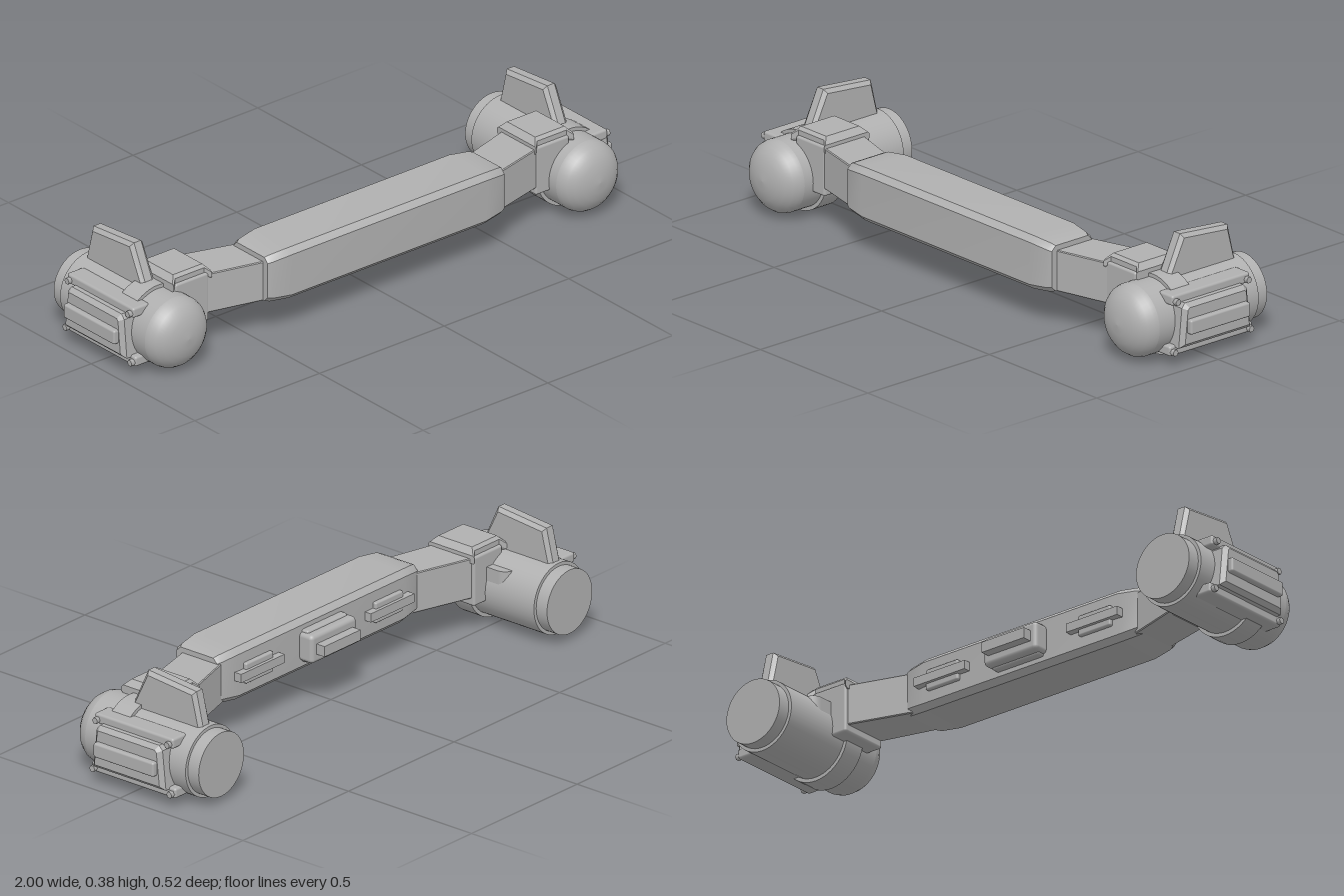
import * as THREE from 'three';
import { RoundedBoxGeometry } from 'three/addons/geometries/RoundedBoxGeometry.js';
import { toCreasedNormals } from 'three/addons/utils/BufferGeometryUtils.js';

const grey = new THREE.MeshStandardMaterial({ color: 0xb0b0b0 });
grey.name = 'grey metal';

// box given by its limits, with bevelled edges when r > 0
function block(x0, x1, y0, y1, z0, z1, r = 0) {
  const size = [x1 - x0, y1 - y0, z1 - z0];
  const g = r ? new RoundedBoxGeometry(...size, 2, r) : new THREE.BoxGeometry(...size);
  return g.translate((x0 + x1) / 2, (y0 + y1) / 2, (z0 + z1) / 2);
}

// side profile of [z, y] points, extruded along x with chamfered faces
function sidePlate(points, x0, x1, bevel) {
  const shape = new THREE.Shape(points.map(([z, y]) => new THREE.Vector2(-z, y)));
  const g = new THREE.ExtrudeGeometry(shape, {
    depth: x1 - x0 - 2 * bevel, bevelEnabled: true, bevelThickness: bevel,
    bevelSize: bevel, bevelOffset: -bevel, bevelSegments: 1,
  });
  return g.rotateY(Math.PI / 2).translate(x0 + bevel, 0, 0);
}

// cylinder along z, from z0 to z1
function drum(r, z0, z1, x, y) {
  return new THREE.CylinderGeometry(r, r, z1 - z0, 48)
    .rotateX(Math.PI / 2).translate(x, y, (z0 + z1) / 2);
}

// loft through closed rings of equal length, running along +x, with end caps
function loft(rings) {
  const n = rings[0].length, index = [];
  for (let i = 0; i < rings.length - 1; i++) {
    for (let j = 0; j < n; j++) {
      const a = i * n + j, b = i * n + (j + 1) % n;
      index.push(a, b, a + n, b, b + n, a + n);
    }
  }
  const last = (rings.length - 1) * n;
  for (let j = 1; j < n - 1; j++) {
    index.push(0, j + 1, j, last, last + j, last + j + 1);
  }
  const g = new THREE.BufferGeometry();
  g.setAttribute('position', new THREE.Float32BufferAttribute(rings.flat(2), 3));
  g.setIndex(index);
  return toCreasedNormals(g, 0.45);
}

// chamfered rectangular ring at x, wound so that lofted faces point outwards
function ring(x, y0, y1, z0, z1, c) {
  return [[y0, z0 + c], [y0 + c, z0], [y1 - c, z0], [y1, z0 + c],
    [y1, z1 - c], [y1 - c, z1], [y0 + c, z1], [y0, z1 - c]].map(([y, z]) => [x, y, z]);
}

// mirror a geometry across x = 0 and restore its winding
function mirrored(geometry) {
  const g = geometry.index ? geometry.toNonIndexed() : geometry.clone();
  g.scale(-1, 1, 1);
  for (const attr of Object.values(g.attributes)) {
    const { array, itemSize: s } = attr;
    for (let i = 0; i < array.length; i += 3 * s) {
      for (let k = 0; k < s; k++) {
        const t = array[i + s + k];
        array[i + s + k] = array[i + 2 * s + k];
        array[i + 2 * s + k] = t;
      }
    }
  }
  return g;
}

export function createModel() {
  const model = new THREE.Group();
  model.name = 'twinPodBar';
  const left = new THREE.Group(), right = new THREE.Group(), body = new THREE.Group();
  left.name = 'leftPod';
  right.name = 'rightPod';
  body.name = 'centreBody';
  model.add(left, right, body);

  const put = (group, name, geometry) => {
    const mesh = new THREE.Mesh(geometry, grey);
    mesh.name = name;
    group.add(mesh);
  };
  const pair = (name, geometry) => {
    put(left, name, geometry);
    put(right, name, mirrored(geometry));
  };

  // central beam with tapered ends
  put(body, 'beam', loft([
    ring(-0.475, 0.127, 0.277, 0.055, 0.22, 0.016),
    ring(-0.46, 0.122, 0.283, 0.047, 0.228, 0.018),
    ring(-0.39, 0.115, 0.29, 0.037, 0.237, 0.018),
    ring(0.39, 0.115, 0.29, 0.037, 0.237, 0.018),
    ring(0.46, 0.122, 0.283, 0.047, 0.228, 0.018),
    ring(0.475, 0.127, 0.277, 0.055, 0.22, 0.016),
  ]));

  // fittings on the back of the beam
  put(body, 'centreFitting', block(-0.107, 0.107, 0.155, 0.25, -0.015, 0.045, 0.014));
  put(body, 'centreFittingRim', block(-0.095, 0.095, 0.148, 0.257, 0.012, 0.045, 0.008));
  put(body, 'centreLug', block(-0.085, 0.085, 0.185, 0.22, -0.047, 0));
  for (const s of [-1, 1]) {
    const x = s * 0.307;
    put(body, 'sideFittingPlate', block(x - 0.065, x + 0.065, 0.168, 0.237, 0.024, 0.045, 0.006));
    put(body, 'sideFittingBar', block(x - 0.103, x + 0.103, 0.188, 0.217, 0.013, 0.045));
  }

  // swept arms joining the beam to the pods
  const armRing = (x, z0, z1) => ring(x, 0.125, 0.26, z0, z1, 0.003);
  pair('arm', loft([armRing(0.45, 0.053, 0.205), armRing(0.69, -0.02, 0.145)]));

  // bracket with raised cap
  pair('bracket', block(0.655, 0.79, 0.1, 0.265, -0.02, 0.155, 0.008));
  pair('bracketCap', loft([
    ring(0.65, 0.245, 0.272, -0.026, 0.162, 0.006),
    ring(0.668, 0.245, 0.292, -0.01, 0.146, 0.01),
    ring(0.785, 0.245, 0.292, -0.01, 0.146, 0.01),
    ring(0.803, 0.245, 0.272, -0.026, 0.162, 0.006),
  ]));

  // rounded stub behind the bracket
  pair('stub', new THREE.CylinderGeometry(0.034, 0.034, 0.1, 20).translate(0.748, 0.165, -0.066));
  pair('stubBase', block(0.714, 0.782, 0.115, 0.215, -0.066, 0));

  // pod hull, dome, rear cap and clamp band
  const px = 0.825, py = 0.13;
  pair('podHull', drum(0.118, -0.218, 0.19, px, py));
  pair('rearCap', drum(0.107, -0.262, -0.2, px, py));
  pair('clampBand', drum(0.13, 0.037, 0.112, px, py));
  const dome = [[0.118, 0.19], [0.114, 0.207], [0.103, 0.224], [0.085, 0.24],
    [0.062, 0.251], [0.033, 0.259], [0, 0.262]].map(([r, z]) => new THREE.Vector2(r, z));
  pair('dome', new THREE.LatheGeometry(dome, 48).rotateX(Math.PI / 2).translate(px, py, 0));

  // upright fin
  pair('fin', sidePlate([[0.09, 0.22], [0.018, 0.375], [-0.177, 0.357], [-0.21, 0.22]],
    0.803, 0.855, 0.012));

  // outer hatch: panel, raised bar, two rails with hexagonal bolts
  pair('hatchPanel', sidePlate([[0.134, 0.06], [0.121, 0.19], [0.108, 0.205],
    [-0.132, 0.205], [-0.146, 0.19], [-0.16, 0.06]], 0.9, 0.982, 0.014));
  pair('hatchBar', block(0.96, 1, 0.107, 0.155, -0.135, 0.11, 0.007));
  const rails = [[0.214, 0.145, -0.175], [0.05, 0.156, -0.185]];
  for (const [y, z1, z0] of rails) {
    pair('hatchRail', block(0.885, 0.952, y - 0.017, y + 0.017, z0, z1, 0.008));
    for (const z of [z0 + 0.015, z1 - 0.013]) {
      pair('bolt', new THREE.CylinderGeometry(0.011, 0.011, 0.03, 6)
        .rotateZ(Math.PI / 2).translate(0.95, y - 0.003, z));
    }
  }
  return model;
}
